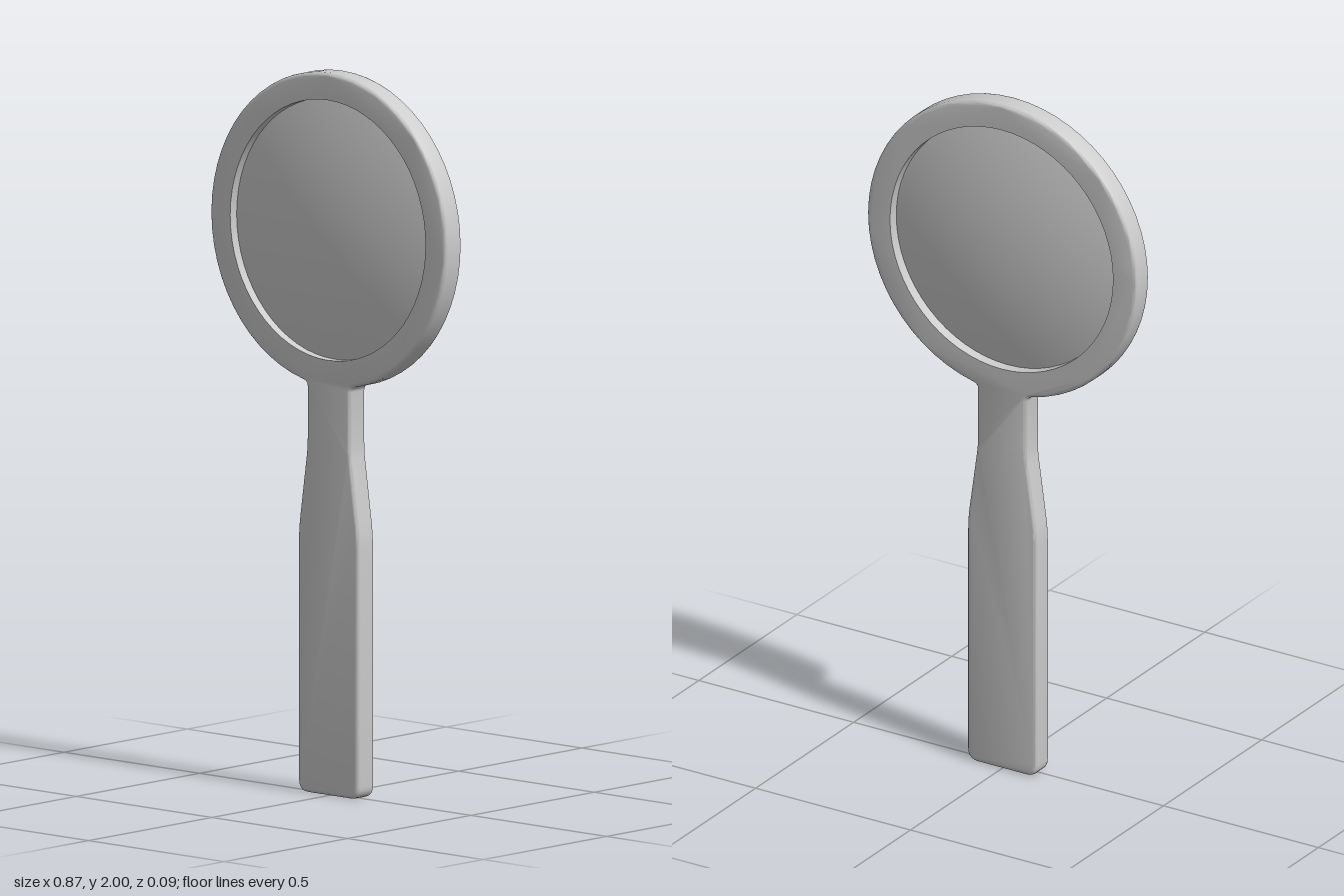
import * as THREE from 'three';
import { toCreasedNormals } from 'three/addons/utils/BufferGeometryUtils.js';

const CY = 1.565, OUTER = 0.435, INNER = 0.36; // ring centre and radii
const BACK = -0.036, FRONT = 0.03, BEVEL = 0.01;

const v = (x, y) => new THREE.Vector2(x, y);
const curve = (a, b, c, n = 5) => new THREE.QuadraticBezierCurve(a, b, c).getPoints(n);

// Right half of the outline, from the bottom centre up to the top of the ring
function halfOutline() {
  const start = -Math.PI / 2 + 0.215; // where the ring meets the neck fillet
  const arc = [];
  for (let i = 0; i <= 28; i++) {
    const a = start + (Math.PI / 2 - start) * i / 28;
    arc.push(v(OUTER * Math.cos(a), CY + OUTER * Math.sin(a)));
  }
  return [
    ...curve(v(0.078, 0), v(0.112, 0), v(0.112, 0.034)),
    ...curve(v(0.112, 0.69), v(0.112, 0.73), v(0.106, 0.77)),
    ...curve(v(0.085, 0.92), v(0.08, 0.95), v(0.08, 0.98)),
    ...curve(v(0.08, 1.125), v(0.08, 1.137), arc[0], 3),
    ...arc.slice(1),
  ];
}

// Handle and ring in one piece, with rounded outer edges and a straight hole
function makeFrame(material) {
  const right = halfOutline();
  const left = right.slice(0, -1).reverse().map(p => v(-p.x, p.y));
  const shape = new THREE.Shape([...right, ...left]);
  const hole = [];
  for (let i = 0; i < 64; i++) {
    const a = -i / 64 * Math.PI * 2;
    hole.push(v(INNER * Math.cos(a), CY + INNER * Math.sin(a)));
  }
  shape.holes.push(new THREE.Path(hole));
  const geo = new THREE.ExtrudeGeometry(shape, {
    depth: FRONT - BACK - 2 * BEVEL, steps: 1,
    bevelEnabled: true, bevelThickness: BEVEL, bevelSize: BEVEL,
    bevelOffset: -BEVEL, bevelSegments: 3,
  });
  geo.translate(0, 0, BACK + BEVEL);

  // Pull the hole's bevel back to a sharp edge
  const pos = geo.attributes.position;
  for (let i = 0; i < pos.count; i++) {
    const x = pos.getX(i), y = pos.getY(i) - CY, r = Math.hypot(x, y);
    if (r < 0.39) pos.setXY(i, x * INNER / r, CY + y * INNER / r);
  }
  const mesh = new THREE.Mesh(toCreasedNormals(geo, 0.6), material);
  mesh.name = 'frameAndHandle';
  return mesh;
}

// Biconvex lens with a thin rim
function makeLens(material) {
  const n = 14, bulge = 0.044, rim = 0.004;
  const side = [];
  for (let i = 0; i <= n; i++) {
    const t = i / n;
    side.push(v(INNER * t, bulge - (bulge - rim) * t * t));
  }
  const profile = [...side.map(p => v(p.x, -p.y)), ...side.slice().reverse()];
  const geo = new THREE.LatheGeometry(profile, 64);
  geo.rotateX(Math.PI / 2);
  const mesh = new THREE.Mesh(toCreasedNormals(geo, 0.6), material);
  mesh.position.y = CY;
  mesh.name = 'lens';
  return mesh;
}

export function createModel() {
  const grey = new THREE.MeshStandardMaterial({ color: 0xcccccc });
  grey.name = 'light grey';
  const group = new THREE.Group();
  group.name = 'magnifyingGlass';
  group.add(makeFrame(grey), makeLens(grey));
  return group;
}
